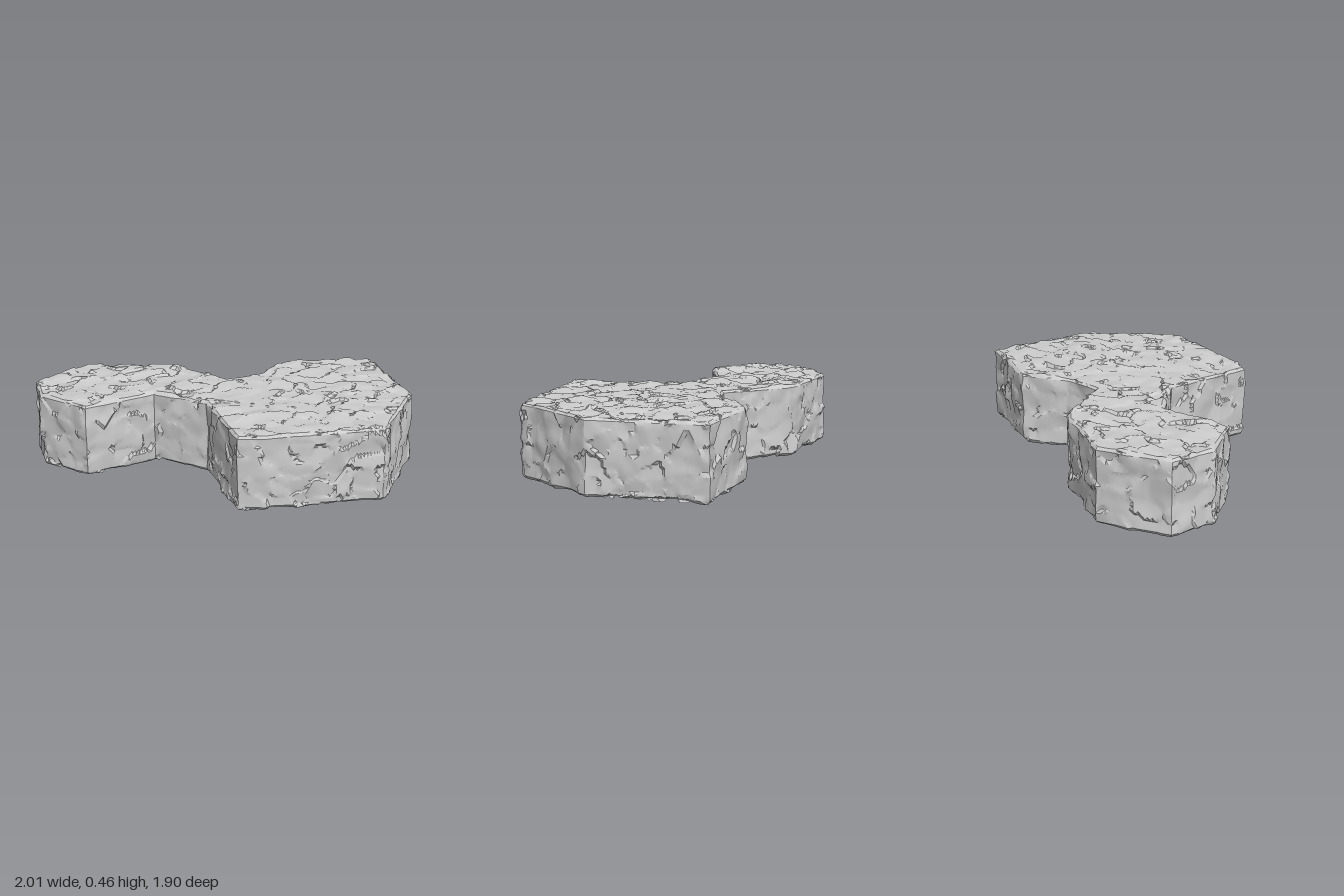
import * as THREE from 'three';
import { mergeVertices, toCreasedNormals } from 'three/addons/utils/BufferGeometryUtils.js';

// Plan outline of the slab as x, z pairs
const OUTLINE = [
  [-0.9, -0.85], [-0.5, -0.945], [-0.4, -0.88], [-0.25, -0.77], [-0.13, -0.7], [-0.08, -0.64],
  [-0.03, -0.49], [0.01, -0.4], [0.05, -0.23], [0.15, -0.21], [0.28, -0.2], [0.4, -0.24],
  [0.55, -0.29], [0.7, -0.2], [0.85, -0.1], [0.99, -0.03], [0.93, 0.15], [0.78, 0.6],
  [0.55, 0.76], [0.4, 0.86], [0.32, 0.93], [0.28, 0.94], [0, 0.82], [-0.2, 0.72],
  [-0.33, 0.675], [-0.45, 0.59], [-0.38, 0.35], [-0.28, 0.05], [-0.35, -0.1], [-0.44, -0.26],
  [-0.53, -0.26], [-0.88, -0.28], [-0.99, -0.61],
];
const BASE = 0.022, TOP = 0.443, BEVEL = 0.014, MAX_EDGE = 0.028;

// Repeatable hash of a lattice cell, 0..1
function hash(x, y, z, seed) {
  let h = Math.imul(x, 374761393) ^ Math.imul(y, 668265263) ^ Math.imul(z, 2147483647) ^ Math.imul(seed, 974634721);
  h = Math.imul(h ^ (h >>> 13), 1274126177);
  h = Math.imul(h ^ (h >>> 16), 2246822519);
  return ((h ^ (h >>> 15)) >>> 0) / 4294967296;
}

// Smooth value noise, -1..1
function noise(x, y, z, seed) {
  const c = [x, y, z].map(Math.floor);
  const f = [x - c[0], y - c[1], z - c[2]].map((t) => t * t * (3 - 2 * t));
  let sum = 0;
  for (let i = 0; i < 8; i++) {
    const b = [i & 1, (i >> 1) & 1, i >> 2];
    const w = b.reduce((p, bit, k) => p * (bit ? f[k] : 1 - f[k]), 1);
    sum += w * hash(c[0] + b[0], c[1] + b[1], c[2] + b[2], seed);
  }
  return sum * 2 - 1;
}

// Chipped facets: each random cell is a small tilted plane
function facets(x, y, z) {
  const c = [x, y, z].map(Math.floor);
  let best = Infinity, value = 0;
  for (let i = -1; i <= 1; i++) for (let j = -1; j <= 1; j++) for (let k = -1; k <= 1; k++) {
    const cell = [c[0] + i, c[1] + j, c[2] + k];
    const d = [x, y, z].map((p, n) => p - cell[n] - hash(...cell, n + 1));
    const dist = d[0] ** 2 + d[1] ** 2 + d[2] ** 2;
    if (dist < best) {
      best = dist;
      value = d.reduce((s, v, n) => s + v * (hash(...cell, n + 5) * 2 - 1), 0);
    }
  }
  return value;
}

// Halve the longest edge until every triangle is small
function subdivide(geometry) {
  const pos = geometry.attributes.position, out = [], stack = [];
  const point = (i) => new THREE.Vector3().fromBufferAttribute(pos, i);
  for (let i = 0; i < pos.count; i += 3) stack.push([point(i), point(i + 1), point(i + 2)]);
  while (stack.length) {
    const t = stack.pop();
    const len = t.map((p, i) => p.distanceTo(t[(i + 1) % 3]));
    const longest = Math.max(...len), i = len.indexOf(longest);
    if (longest <= MAX_EDGE) {
      t.forEach((p) => out.push(p.x, p.y, p.z));
      continue;
    }
    const a = t[i], b = t[(i + 1) % 3], c = t[(i + 2) % 3];
    const m = a.clone().add(b).multiplyScalar(0.5);
    stack.push([a, m, c], [m, b, c]);
  }
  const fine = new THREE.BufferGeometry();
  fine.setAttribute('position', new THREE.Float32BufferAttribute(out, 3));
  return fine;
}

// Push the surface in and out along its normals
function roughen(geometry) {
  const pos = geometry.attributes.position, nor = geometry.attributes.normal;
  const p = new THREE.Vector3(), n = new THREE.Vector3();
  for (let i = 0; i < pos.count; i++) {
    p.fromBufferAttribute(pos, i);
    n.fromBufferAttribute(nor, i);
    const { x, y, z } = p;
    const warp = 0.04 * noise(x * 7, y * 7, z * 7, 20);
    const d = 0.008 * noise(x * 5, y * 5, z * 5, 11)
      + 0.006 * noise(x * 13, y * 13, z * 13, 12)
      + 0.014 * facets((x + warp) * 7, (y - warp) * 9, (z + warp) * 10);
    p.addScaledVector(n, d);
    pos.setXYZ(i, p.x, Math.max(p.y, 0), p.z);
  }
}

export function createModel() {
  const group = new THREE.Group();
  group.name = 'rockPlatform';

  // Slab with softened rims
  const shape = new THREE.Shape(OUTLINE.map(([x, z]) => new THREE.Vector2(x, -z)));
  let slab = new THREE.ExtrudeGeometry(shape, {
    depth: TOP - BASE - 2 * BEVEL, bevelEnabled: true, bevelSegments: 1,
    bevelSize: BEVEL, bevelThickness: BEVEL, bevelOffset: -BEVEL,
  });
  slab.rotateX(-Math.PI / 2);
  slab.translate(0, BASE + BEVEL, 0);

  // Weathered stone surface
  slab = mergeVertices(subdivide(slab));
  slab.computeVertexNormals();
  roughen(slab);
  slab.deleteAttribute('normal');
  slab = toCreasedNormals(slab, 0.5);

  const rock = new THREE.Mesh(slab, new THREE.MeshStandardMaterial({ color: 0xcccccc, roughness: 0.9 }));
  rock.name = 'rockSlab';
  group.add(rock);
  return group;
}
